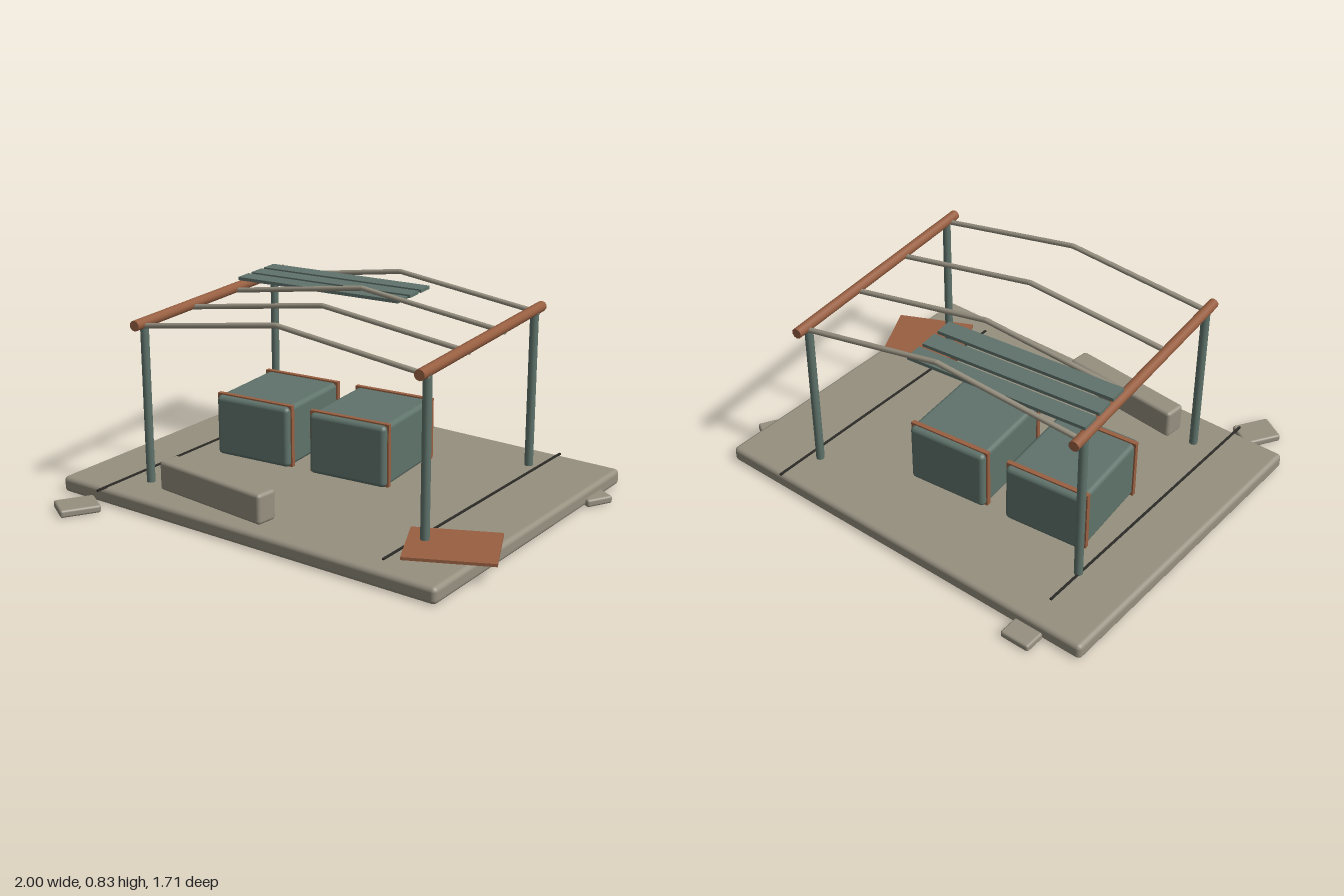
import * as THREE from 'three';
import { RoundedBoxGeometry } from 'three/addons/geometries/RoundedBoxGeometry.js';

const material = (name, color) => {
  const m = new THREE.MeshStandardMaterial({ color });
  m.name = name;
  return m;
};

export function createModel() {
  const stone = material('weathered stone', 0x969080);
  const green = material('faded green', 0x5f736b);
  const rust = material('rusty brown', 0x985f41);
  const dark = material('dark crack', 0x2c2b27);

  const model = new THREE.Group();
  model.name = 'ruinedShelter';

  const add = (name, geometry, mat, [x, y, z], turn = 0, parent = model) => {
    const mesh = new THREE.Mesh(geometry, mat);
    mesh.name = name;
    mesh.position.set(x, y, z);
    mesh.rotation.y = turn;
    parent.add(mesh);
    return mesh;
  };
  const rounded = (w, h, d, r) => new RoundedBoxGeometry(w, h, d, 3, r);
  const box = (w, h, d) => new THREE.BoxGeometry(w, h, d);

  // Round bar between two points
  const bar = (name, a, b, radius, mat, sides = 10) => {
    const from = new THREE.Vector3(...a), to = new THREE.Vector3(...b);
    const dir = to.clone().sub(from);
    const mesh = add(name, new THREE.CylinderGeometry(radius, radius, dir.length(), sides), mat,
      from.clone().add(to).multiplyScalar(0.5).toArray());
    mesh.quaternion.setFromUnitVectors(new THREE.Vector3(0, 1, 0), dir.normalize());
  };

  // Skewed ground slab, with two long cracks
  const floor = 0.068;
  add('slab', rounded(1.82, floor, 1.42, 0.02), stone, [-0.025, floor / 2, 0.005], -0.1);
  for (const x of [-0.707, 0.602]) {
    add('crack', box(0.009, 0.008, 1.33), dark, [x, floor + 0.002, 0.02], -0.1);
  }

  // Broken chunks around the slab
  add('chunk', rounded(0.13, 0.032, 0.17, 0.01), stone, [-0.623, 0.016, -0.77], -0.1);
  add('chunk', rounded(0.1, 0.032, 0.12, 0.01), stone, [0.928, 0.016, -0.375], -0.6);
  add('chunk', rounded(0.13, 0.032, 0.165, 0.01), stone, [-0.825, 0.016, 0.747], -0.65);

  // Posts and the long side beams
  const sides = [-0.653, 0.603];
  for (const x of sides) {
    for (const z of [0.484, -0.46]) bar('post', [x, floor - 0.01, z], [x, 0.73, z], 0.018, green);
    bar('sideBeam', [x, 0.74, 0.548], [x, 0.74, -0.532], 0.022, rust);
  }

  // Bent rafters
  for (const z of [0.498, 0.168, -0.147, -0.475]) {
    const ridge = [-0.025, 0.82, z];
    bar('rafter', [sides[0], 0.73, z], ridge, 0.011, stone, 8);
    bar('rafter', ridge, [sides[1] + 0.015, 0.727, z], 0.011, stone, 8);
  }

  // Remaining roof slats
  for (const z of [-0.422, -0.322, -0.222]) {
    add('roofSlat', box(0.78, 0.014, 0.078), green, [-0.267, 0.773, z]);
  }

  // Strapped crates
  for (const x of [-0.423, 0.034]) {
    const crate = new THREE.Group();
    crate.name = 'crate';
    crate.position.set(x, floor, -0.134);
    model.add(crate);
    add('crateBody', rounded(0.355, 0.262, 0.44, 0.02), green, [0, 0.131, 0], 0, crate);
    for (const z of [0.186, -0.186]) {
      add('crateStrap', box(0.368, 0.268, 0.02), rust, [0, 0.134, z], 0, crate);
    }
  }

  // Fallen block and loose rusty sheet
  add('fallenBlock', rounded(0.56, 0.125, 0.095, 0.015), stone, [-0.282, floor + 0.0625, 0.55], -0.2);
  add('looseSheet', box(0.35, 0.012, 0.28), rust, [0.715, 0.083, 0.477], 0.35);

  return model;
}
